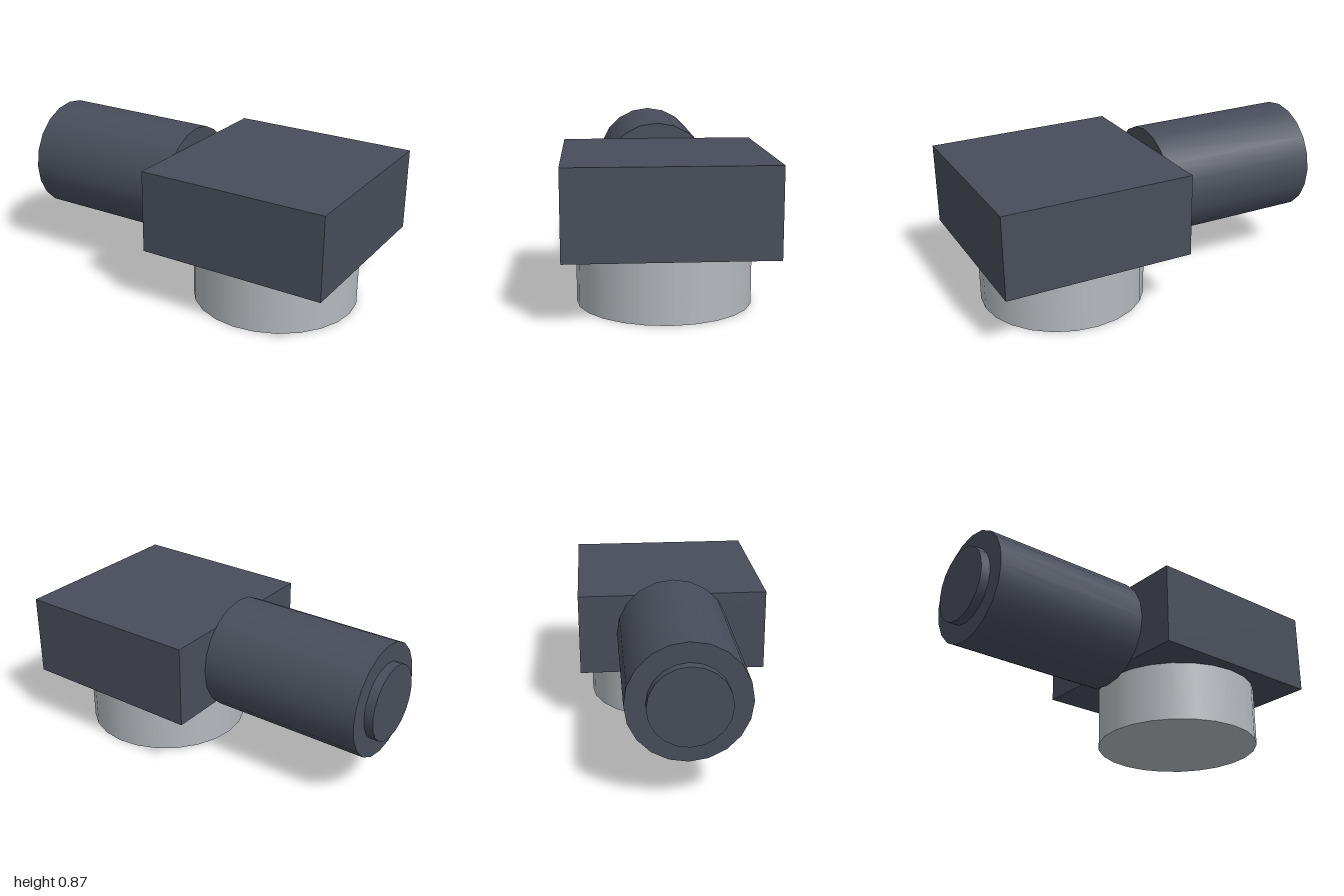
import * as THREE from 'three';

export function createModel() {
  const group = new THREE.Group();
  const darkSlate = new THREE.MeshStandardMaterial({ color: 0x484d5a });
  darkSlate.name = 'darkSlate';
  const lightGrey = new THREE.MeshStandardMaterial({ color: 0xb4b9be });
  lightGrey.name = 'lightGrey';

  const add = (name, geometry, material, x, y) => {
    const mesh = new THREE.Mesh(geometry, material);
    mesh.name = name;
    mesh.position.set(x, y, 0);
    group.add(mesh);
  };

  // Cylinder lying along x, from x0 to x1, with a corner at the top
  const axisY = 0.555;
  const addHorizontal = (name, radius, x0, x1) => {
    const geometry = new THREE.CylinderGeometry(radius, radius, x1 - x0, 20).rotateZ(Math.PI / 2);
    add(name, geometry, darkSlate, (x0 + x1) / 2, axisY);
  };

  // Square housing
  add('housing', new THREE.BoxGeometry(1.04, 0.452, 1.04), darkSlate, 0.48, axisY);

  // Round connector below the housing
  add('connector', new THREE.CylinderGeometry(0.455, 0.455, 0.329, 24), lightGrey, 0.48, 0.1645);

  // Side barrel and its raised end cap
  addHorizontal('barrel', 0.311, -0.95, -0.04);
  addHorizontal('endCap', 0.208, -1, -0.95);

  return group;
}
